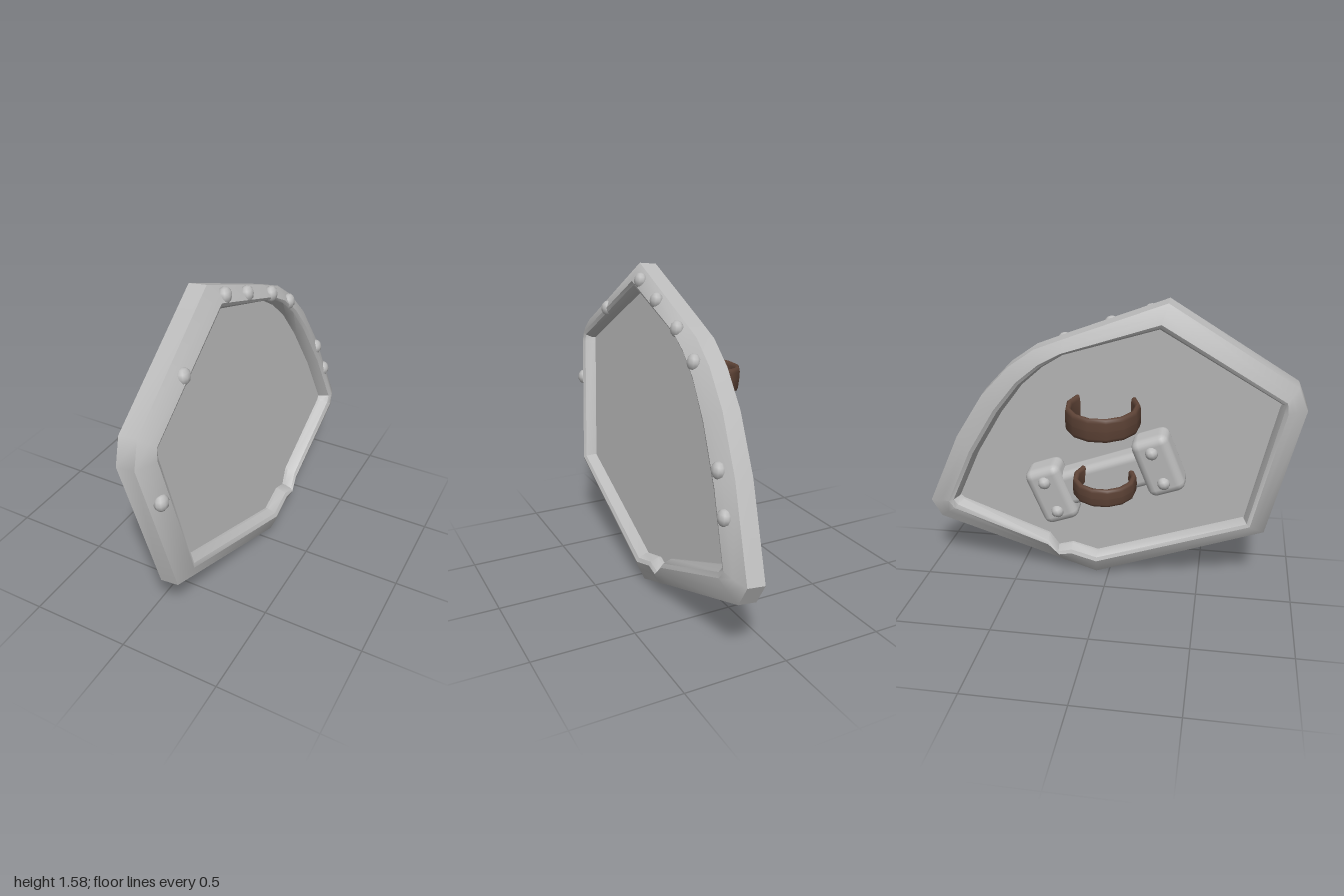
import * as THREE from 'three';
import { toCreasedNormals } from 'three/addons/utils/BufferGeometryUtils.js';
import { RoundedBoxGeometry } from 'three/addons/geometries/RoundedBoxGeometry.js';

// Shield outline, counterclockwise seen from its face: outer z, y, then inner z, y
const OUTLINE = [
  [0.31, 1.59, 0.27, 1.46], [0.95, 1.19, 0.875, 1.1], [1, 1.07, 0.865, 1.07],
  [0.84, 0.35, 0.73, 0.43], [-0.07, 0.01, -0.06, 0.15],
  [-0.2, 0.055, -0.2, 0.19], [-0.25, 0.07, -0.28, 0.165], [-0.33, 0.1, -0.33, 0.24], // chip in the rim
  [-0.95, 0.31, -0.81, 0.43], [-1, 0.41, -0.83, 0.45],
  [-0.81, 0.82, -0.7, 0.73], [-0.65, 1.07, -0.55, 0.98], [-0.5, 1.23, -0.43, 1.14],
  [-0.36, 1.33, -0.32, 1.24], [-0.21, 1.39, -0.21, 1.31],
];

// Point between outer (t = 0) and inner (t = 1) outline; the shield faces +Z here
function outlinePoint([zo, yo, zi, yi], t) {
  return [-(zo + (zi - zo) * t), yo + (yi - yo) * t];
}

// Bevelled section swept round the outline
function rimGeometry() {
  const half = [[0, 0.045], [0.4, 0.077], [0.7, 0.094], [0.85, 0.085], [1, 0.045]];
  const section = [...half, ...half.map(([t, w]) => [t, -w]).reverse()];
  const n = OUTLINE.length, m = section.length;
  const positions = [], index = [];
  for (const p of OUTLINE) {
    for (const [t, w] of section) positions.push(...outlinePoint(p, t), w);
  }
  for (let i = 0; i < n; i++) {
    for (let j = 0; j < m; j++) {
      const a = i * m + j, b = ((i + 1) % n) * m + j;
      const c = i * m + (j + 1) % m, d = ((i + 1) % n) * m + (j + 1) % m;
      index.push(a, b, c, b, d, c);
    }
  }
  const g = new THREE.BufferGeometry();
  g.setAttribute('position', new THREE.Float32BufferAttribute(positions, 3));
  g.setIndex(index);
  return toCreasedNormals(g, 0.65);
}

export function createModel() {
  const steel = new THREE.MeshStandardMaterial({ color: 0xbcbcbc });
  steel.name = 'steel';
  const leather = new THREE.MeshStandardMaterial({ color: 0x5f4437, side: THREE.DoubleSide });
  leather.name = 'leather';

  const model = new THREE.Group();
  model.name = 'shield';
  const lean = new THREE.Group();
  lean.name = 'leaningShield';
  lean.position.x = 0.21;
  lean.rotation.z = 0.11;
  model.add(lean);
  const body = new THREE.Group();
  body.name = 'shieldBody';
  body.rotation.y = Math.PI / 2;
  lean.add(body);

  function add(parent, name, geometry, material, x = 0, y = 0, z = 0) {
    const mesh = new THREE.Mesh(geometry, material);
    mesh.name = name;
    mesh.position.set(x, y, z);
    parent.add(mesh);
    return mesh;
  }

  add(body, 'rim', rimGeometry(), steel);

  // Flat plate set inside the rim
  const plate = new THREE.Shape(OUTLINE.map(p => new THREE.Vector2(...outlinePoint(p, 0.95))));
  add(body, 'plate', new THREE.ExtrudeGeometry(plate, { depth: 0.06, bevelEnabled: false }), steel, 0, 0, -0.03);

  // Worn rivets on the rim
  const rivets = [[0.22, 1.51], [0.02, 1.44], [-0.22, 1.345], [-0.41, 1.23], [-0.72, 0.83],
    [-0.81, 0.65], [0.62, 1.31], [0.9, 0.86]];
  for (const [z, y] of rivets) {
    add(body, 'rivet', new THREE.SphereGeometry(0.04, 10, 6), steel, -z, y, 0.075).scale.z = 0.8;
  }

  // Slanted arm brace on the back, with a block and bolts at each end
  const brace = new THREE.Group();
  brace.name = 'armBrace';
  brace.position.set(0, 0.66, -0.08);
  brace.rotation.z = -0.36;
  body.add(brace);
  add(brace, 'braceBar', new RoundedBoxGeometry(0.66, 0.2, 0.13, 2, 0.04), steel);
  for (const s of [-1, 1]) {
    add(brace, 'braceBlock', new RoundedBoxGeometry(0.2, 0.33, 0.16, 2, 0.045), steel, s * 0.3, 0, -0.01);
    for (const t of [-1, 1]) {
      add(brace, 'braceBolt', new THREE.SphereGeometry(0.035, 10, 6), steel, s * 0.3, t * 0.09, -0.085);
    }
  }

  // Open leather arm loops
  function armLoop(name, y, z, radius, halfHeight) {
    const loop = new THREE.Group();
    loop.name = name;
    loop.position.set(-0.015, y, z);
    body.add(loop);
    const soften = v => Math.sign(v) * Math.abs(v) ** 0.6;
    const profile = [];
    for (let i = 0; i <= 12; i++) {
      const a = i / 12 * Math.PI * 2;
      profile.push(new THREE.Vector2(radius + 0.016 * soften(Math.cos(a)), halfHeight * soften(Math.sin(a))));
    }
    const start = Math.PI - 2.18, sweep = 4.36;
    add(loop, name + 'Band', new THREE.LatheGeometry(profile, 9, start, sweep), leather);
    for (const a of [start, start + sweep]) {
      const end = add(loop, name + 'End', new THREE.CircleGeometry(1, 12), leather, radius * Math.sin(a), 0, radius * Math.cos(a));
      end.scale.set(0.016, halfHeight, 1);
      end.rotation.y = a - Math.PI / 2;
    }
  }
  armLoop('upperArmLoop', 1.075, -0.225, 0.17, 0.062);
  armLoop('lowerArmLoop', 0.685, -0.21, 0.148, 0.049);

  return model;
}
